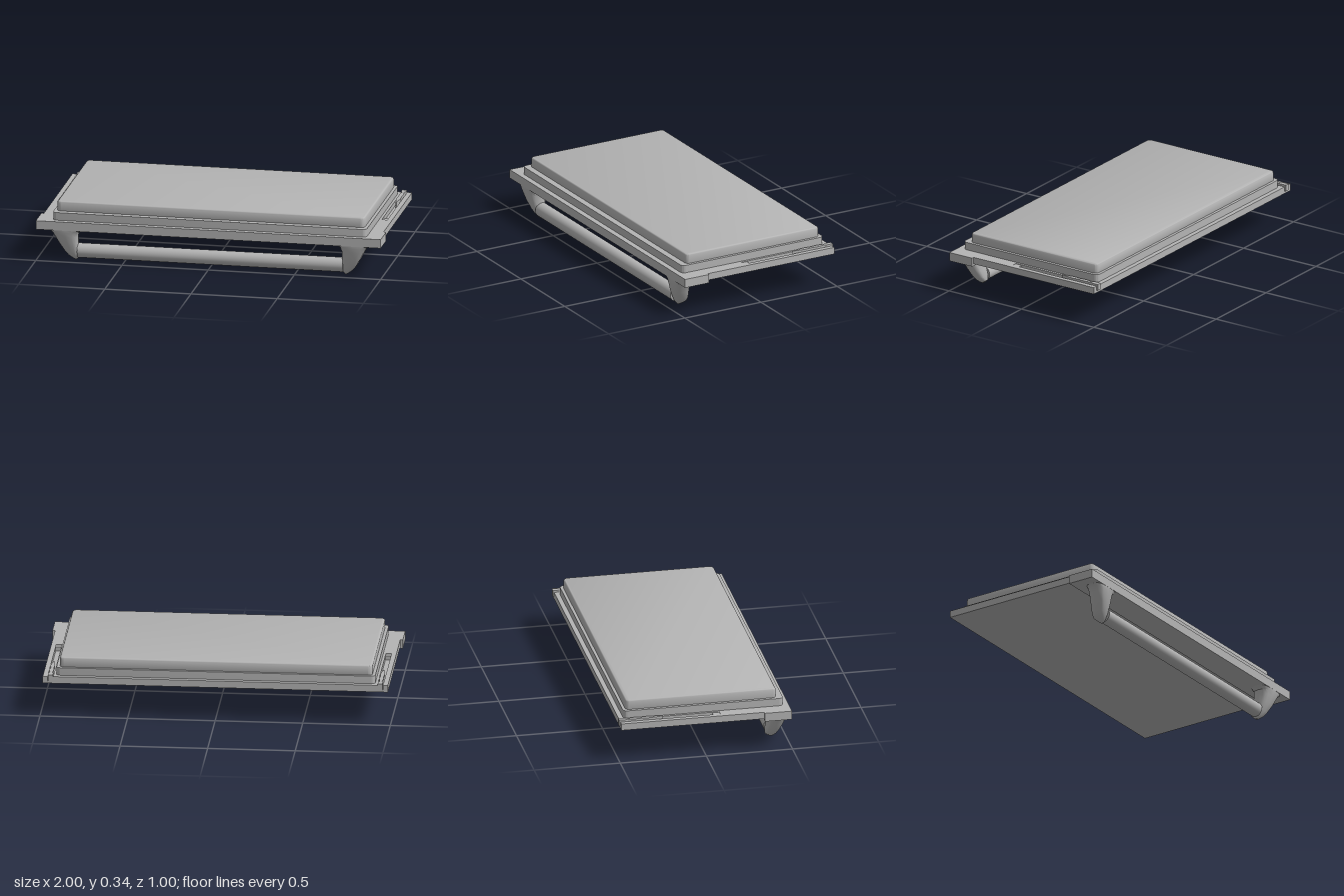
import * as THREE from 'three';
import { mergeVertices, toCreasedNormals } from 'three/addons/utils/BufferGeometryUtils.js';

const grey = new THREE.MeshStandardMaterial({ color: 0xb4b4b4 });
grey.name = 'plain grey';

function add(group, name, geometry, x = 0, y = 0, z = 0) {
  const mesh = new THREE.Mesh(geometry, grey);
  mesh.name = name;
  mesh.position.set(x, y, z);
  group.add(mesh);
  return mesh;
}

// Box given by its limits on each axis
function block(group, name, [x0, x1], [y0, y1], [z0, z1]) {
  return add(group, name, new THREE.BoxGeometry(x1 - x0, y1 - y0, z1 - z0),
    (x0 + x1) / 2, (y0 + y1) / 2, (z0 + z1) / 2);
}

// Horizontal slab with rounded corners and an optional rounded rim
function slab(group, name, hx, [z0, z1], [y0, y1], r, bevel = 0) {
  const w = hx - bevel, a = z0 + bevel, b = z1 - bevel;
  const s = new THREE.Shape();
  s.moveTo(-w + r, -b);
  s.lineTo(w - r, -b).absarc(w - r, -b + r, r, -Math.PI / 2, 0);
  s.lineTo(w, -a - r).absarc(w - r, -a - r, r, 0, Math.PI / 2);
  s.lineTo(-w + r, -a).absarc(-w + r, -a - r, r, Math.PI / 2, Math.PI);
  s.lineTo(-w, -b + r).absarc(-w + r, -b + r, r, Math.PI, Math.PI * 1.5);
  const g = new THREE.ExtrudeGeometry(s, {
    depth: y1 - y0 - 2 * bevel, curveSegments: 6, bevelEnabled: bevel > 0,
    bevelSize: bevel, bevelThickness: bevel, bevelSegments: 4,
  });
  g.rotateX(-Math.PI / 2);
  return add(group, name, toCreasedNormals(g, 0.6), 0, y0 + bevel, 0);
}

// Handle leg lofted through rounded sections: y, inner x, outer x, back z, front z
function legGeometry(side) {
  const sections = [
    [0.190, 0.700, 0.945, 0.390, 0.498],
    [0.183, 0.735, 0.930, 0.392, 0.498],
    [0.168, 0.758, 0.912, 0.393, 0.496],
    [0.145, 0.765, 0.898, 0.392, 0.491],
    [0.100, 0.766, 0.874, 0.386, 0.479],
    [0.050, 0.766, 0.845, 0.378, 0.459],
    [0.025, 0.768, 0.825, 0.380, 0.446],
    [0.010, 0.770, 0.805, 0.397, 0.434],
    [0.000, 0.775, 0.790, 0.412, 0.424],
  ];
  const n = 16, pos = [], idx = [];
  const squash = (v) => Math.sign(v) * Math.pow(Math.abs(v), 0.65);
  for (const [y, x0, x1, z0, z1] of sections) {
    for (let j = 0; j < n; j++) {
      const a = (j / n) * Math.PI * 2;
      pos.push(side * (x0 + x1) / 2 + (x1 - x0) / 2 * squash(Math.cos(a)), y,
        (z0 + z1) / 2 + (z1 - z0) / 2 * squash(Math.sin(a)));
    }
  }
  for (let i = 0; i < sections.length - 1; i++) {
    for (let j = 0; j < n; j++) {
      const k = (j + 1) % n, p = i * n, q = p + n;
      idx.push(p + j, p + k, q + j, p + k, q + k, q + j);
    }
  }
  const last = (sections.length - 1) * n;
  for (let j = 1; j < n - 1; j++) idx.push(last, last + j, last + j + 1);
  const g = new THREE.BufferGeometry();
  g.setAttribute('position', new THREE.Float32BufferAttribute(pos, 3));
  g.setIndex(idx);
  return toCreasedNormals(mergeVertices(g), 0.6);
}

// Slotted plate: cross-section with a groove near each side, run along z
function slottedPlate() {
  const half = [[0.925, 0.235], [0.925, 0.208], [0.957, 0.208], [0.957, 0.235], [0.985, 0.235], [0.985, 0.195]];
  const outline = [...half, ...half.map(([x, y]) => [-x, y]).reverse()];
  const shape = new THREE.Shape(outline.map(([x, y]) => new THREE.Vector2(x, y)));
  return new THREE.ExtrudeGeometry(shape, { depth: 0.58, bevelEnabled: false });
}

// Spring catch: slim tapering tongue with notched flanks, lying in the groove
function catchGeometry() {
  const flank = [[0.014, 0.497], [0.014, 0.46], [0.007, 0.445], [0.013, 0.40], [0.009, 0.36], [0.013, 0.32], [0.008, 0.28], [0.002, 0.24]];
  const outline = [...flank.map(([x, z]) => [-x, z]), ...flank.slice().reverse()];
  const shape = new THREE.Shape(outline.map(([x, z]) => new THREE.Vector2(x, z)));
  const g = new THREE.ExtrudeGeometry(shape, { depth: 0.037, bevelEnabled: false });
  return g.rotateX(-Math.PI / 2);
}

export function createModel() {
  const model = new THREE.Group();
  model.name = 'tray with handle';

  // Base plate, with grooves running out at the back
  add(model, 'slottedPlate', slottedPlate(), 0, 0, -0.49);
  block(model, 'frontPlate', [-0.985, 0.985], [0.195, 0.235], [0.09, 0.34]);
  block(model, 'frontRail', [-1, 1], [0.184, 0.235], [0.34, 0.498]);

  // Stepped body
  slab(model, 'lowerStep', 0.91, [-0.463, 0.465], [0.225, 0.28], 0.025);
  slab(model, 'topPanel', 0.892, [-0.446, 0.427], [0.25, 0.337], 0.012, 0.012);

  for (const side of [1, -1]) {
    const prefix = side > 0 ? 'left' : 'right';
    // Groove fittings
    const stop = [side * 0.941 - 0.016, side * 0.941 + 0.016];
    block(model, prefix + 'GrooveStop', stop, [0.2, 0.232], [0.05, 0.09]);
    add(model, prefix + 'Catch', catchGeometry(), side * 0.941, 0.209, 0);
    // Handle leg
    add(model, prefix + 'HandleLeg', legGeometry(side));
  }

  // Grip bar between the legs
  const bar = new THREE.CylinderGeometry(0.042, 0.042, 1.54, 32);
  bar.rotateZ(Math.PI / 2);
  add(model, 'gripBar', bar, 0, 0.053, 0.42);

  return model;
}
